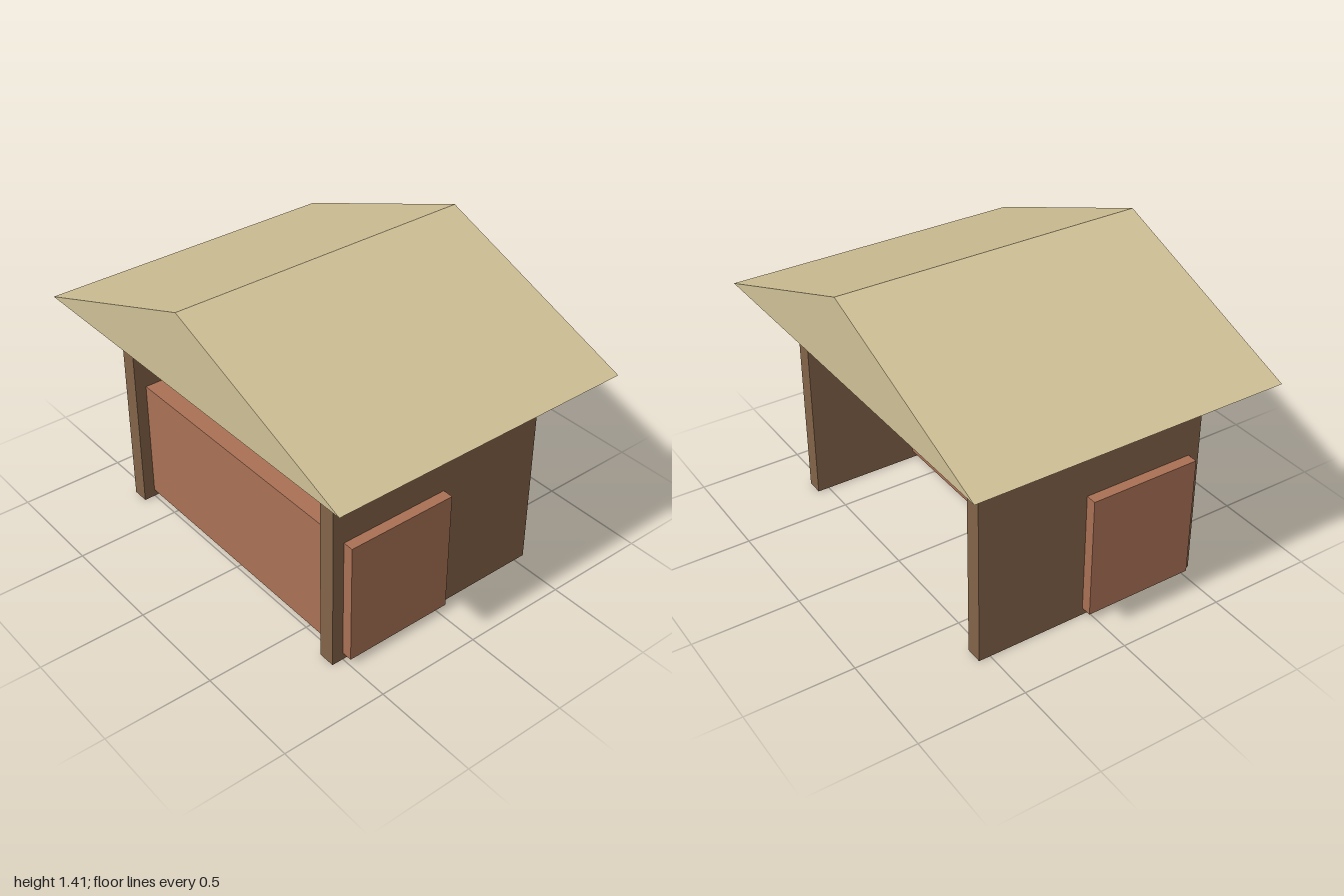
import * as THREE from 'three';

const mat = (name, color) => Object.assign(new THREE.MeshStandardMaterial({ color }), { name });

export function createModel() {
  const straw = mat('straw', 0xd0c196);
  const wood = mat('brown wood', 0x836349);
  const clay = mat('red clay', 0xaa7155);
  const amber = mat('amber', 0xcb9856);

  const model = new THREE.Group();
  model.name = 'marketStall';

  const add = (name, geometry, material, x, y, z) => {
    const mesh = new THREE.Mesh(geometry, material);
    mesh.name = name;
    mesh.position.set(x, y, z);
    model.add(mesh);
  };

  // Side walls
  for (const [name, side] of [['leftWall', 1], ['rightWall', -1]]) {
    add(name, new THREE.BoxGeometry(0.08, 1.03, 1.11), wood, side * 0.705, 0.515, 0);
  }

  // Counter, running through both walls
  add('counter', new THREE.BoxGeometry(1.59, 0.59, 0.53), clay, 0, 0.33, 0.235);

  // Solid gabled roof
  const gable = new THREE.Shape([
    new THREE.Vector2(-1, 0),
    new THREE.Vector2(1, 0),
    new THREE.Vector2(0, 0.383),
  ]);
  const roof = new THREE.ExtrudeGeometry(gable, { depth: 1.47, bevelEnabled: false });
  add('roof', roof, straw, 0, 1.03, -0.735);

  // Five-sided tapered goods on the counter
  const goods = new THREE.CylinderGeometry(0.082, 0.129, 0.13, 5, 1, false, Math.PI / 5).toNonIndexed();
  goods.computeVertexNormals();
  [['rightGoods', -0.53, amber], ['middleGoods', 0, straw], ['leftGoods', 0.53, amber]].forEach(
    ([name, x, material]) => add(name, goods, material, x, 0.69, 0.265)
  );

  return model;
}
